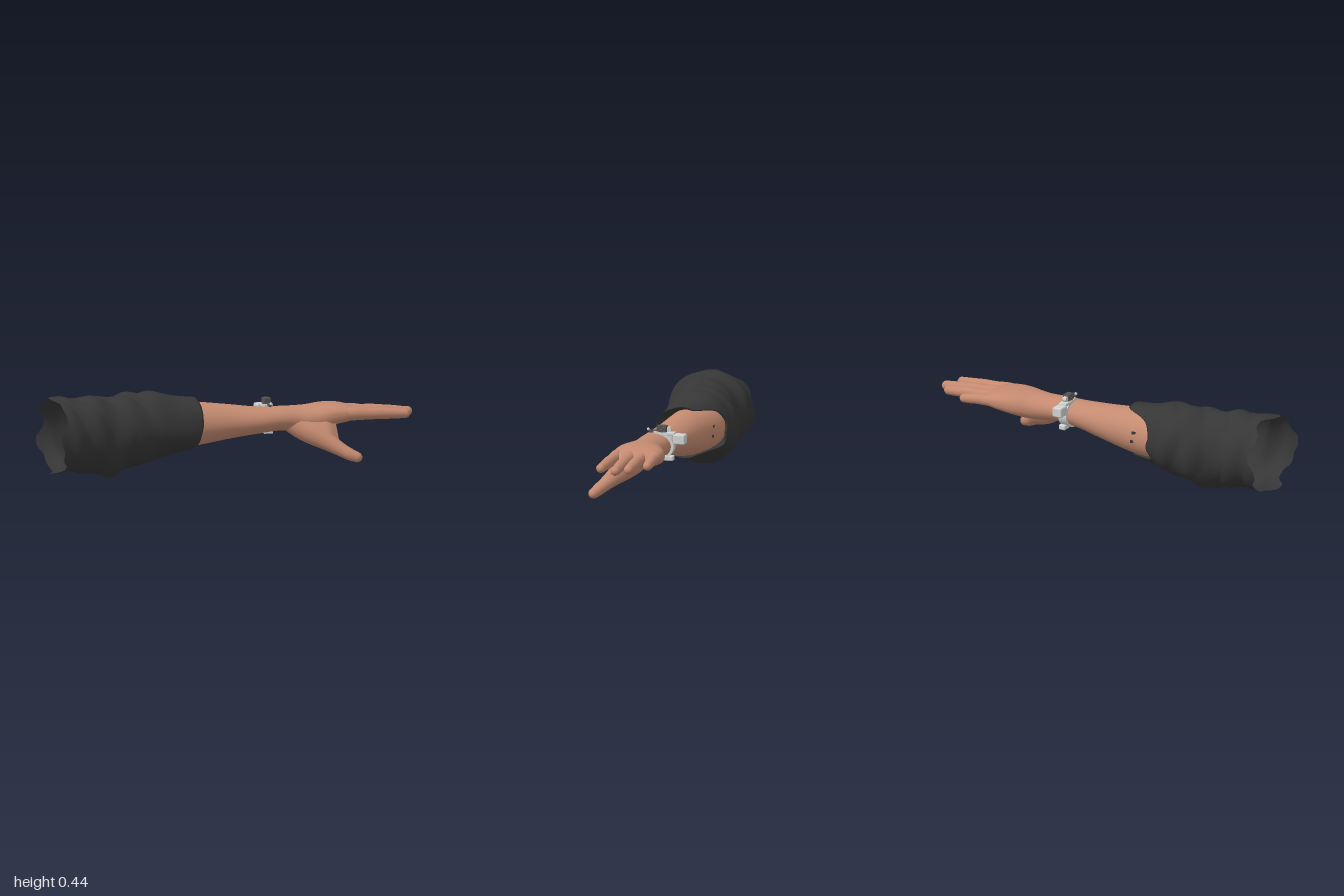
import * as THREE from 'three';
import { RoundedBoxGeometry } from 'three/addons/geometries/RoundedBoxGeometry.js';

const { smoothstep, lerp, degToRad } = THREE.MathUtils;

const mat = (name, color, side = THREE.FrontSide) => {
  const m = new THREE.MeshStandardMaterial({ color, side });
  m.name = name;
  return m;
};

// Closed rings of points joined into one smooth skin; rings advance along +x
function loft(rings, sides, point, capped = false) {
  const pos = [], idx = [];
  for (let i = 0; i < rings; i++)
    for (let j = 0; j < sides; j++) pos.push(...point(i / (rings - 1), (j / sides) * Math.PI * 2));
  for (let i = 0; i < rings - 1; i++)
    for (let j = 0; j < sides; j++) {
      const k = (j + 1) % sides;
      const a = i * sides + j, b = i * sides + k, c = a + sides, d = b + sides;
      idx.push(a, c, b, b, c, d);
    }
  const last = (rings - 1) * sides;
  for (let j = 1; capped && j < sides - 1; j++) idx.push(0, j, j + 1, last, last + j + 1, last + j);
  const g = new THREE.BufferGeometry();
  g.setAttribute('position', new THREE.Float32BufferAttribute(pos, 3));
  g.setIndex(idx);
  g.computeVertexNormals();
  return g;
}

// Smooth interpolation of rows [x, yMin, yMax, zMin, zMax]
function sections(rows) {
  const f = new THREE.CubicInterpolant(
    new Float32Array(rows.map(r => r[0])), new Float32Array(rows.flatMap(r => r.slice(1))), 4);
  return x => {
    const [y0, y1, z0, z1] = f.evaluate(x);
    return { y: (y0 + y1) / 2, z: (z0 + z1) / 2, ry: (y1 - y0) / 2, rz: (z1 - z0) / 2 };
  };
}

// Finger-like limb: rows [x, y, z, radius], rounded at the tip
function digit(rows) {
  const path = new THREE.CatmullRomCurve3(rows.map(r => new THREE.Vector3(r[0], r[1], r[2])));
  const radii = new THREE.SplineCurve(rows.map((r, i) => new THREE.Vector2(i, r[3])));
  const start = 1 - rows[rows.length - 1][3] / path.getLength();
  return loft(36, 18, (s, a) => {
    const u = s < 0.6 ? (s / 0.6) * start : start + (1 - start) * Math.sin(((s - 0.6) / 0.4) * Math.PI / 2);
    const t = path.getUtoTmapping(u);
    const round = u > start ? Math.sqrt(Math.max(0.0004, 1 - ((u - start) / (1 - start)) ** 2)) : 1;
    const r = radii.getPoint(t).y * round;
    const dir = path.getTangent(t);
    const side = new THREE.Vector3().crossVectors(dir, new THREE.Vector3(0, 1, 0)).normalize();
    const up = new THREE.Vector3().crossVectors(side, dir);
    return path.getPoint(t).addScaledVector(side, r * Math.cos(a)).addScaledVector(up, r * Math.sin(a)).toArray();
  }, true);
}

export function createModel() {
  const group = new THREE.Group();
  const skin = mat('skin', 0xc48a70);
  const cloth = mat('charcoal cloth', 0x363636, THREE.DoubleSide);
  const lightMetal = mat('light metal', 0xd0d2d2);
  const darkMetal = mat('dark metal', 0x505250);
  const copper = mat('copper', 0x8a5a48);
  const add = (name, geo, material, parent = group) => {
    const m = new THREE.Mesh(geo, material);
    m.name = name;
    parent.add(m);
    return m;
  };

  // Forearm, wrist and palm in one skin
  const armAt = sections([
    [-0.5, 0.13, 0.36, -0.2, 0.07], [-0.37, 0.125, 0.37, -0.212, 0.07],
    [-0.2, 0.132, 0.366, -0.178, 0.066], [0, 0.165, 0.346, -0.14, 0.07],
    [0.15, 0.188, 0.33, -0.104, 0.085], [0.28, 0.2, 0.328, -0.09, 0.085],
    [0.36, 0.19, 0.328, -0.092, 0.085], [0.43, 0.188, 0.33, -0.11, 0.1],
    [0.5, 0.203, 0.334, -0.14, 0.113], [0.57, 0.222, 0.333, -0.155, 0.112],
    [0.62, 0.232, 0.326, -0.155, 0.11], [0.66, 0.242, 0.316, -0.146, 0.1],
    [0.695, 0.253, 0.303, -0.112, 0.085], [0.715, 0.267, 0.287, -0.08, 0.06]]);
  add('armAndPalm', loft(90, 40, (s, a) => {
    const x = -0.5 + 1.215 * s;
    const p = armAt(x), c = Math.cos(a), n = Math.sin(a);
    const e = 1 - 0.25 * smoothstep(x, 0.35, 0.6);
    return [x, p.y + p.ry * Math.sign(n) * Math.abs(n) ** e, p.z + p.rz * Math.sign(c) * Math.abs(c) ** e];
  }, true), skin);

  // Fingers: base z, tip x, tip z, tip y, thickness
  const fingers = [
    ['indexFinger', 0.076, 0.958, 0.084, 0.27, 0.031], ['middleFinger', 0.006, 1.0, -0.007, 0.268, 0.032],
    ['ringFinger', -0.058, 0.952, -0.065, 0.268, 0.031], ['littleFinger', -0.121, 0.82, -0.13, 0.265, 0.029]];
  for (const [name, z, tx, tz, ty, r] of fingers) {
    const at = (k, y, q) => [0.57 + (tx - 0.57) * k, y, z + (tz - z) * k, r * q];
    add(name, digit([at(0, 0.28, 1), at(0.2, 0.281, 1.12), at(0.4, 0.278, 1.0),
      at(0.58, 0.277, 0.97), at(0.78, (ty + 0.276) / 2, 0.88), at(1, ty, 0.76)]), skin);
  }

  // Thumb with its fleshy base
  add('thumb', digit([[0.3, 0.258, 0.01, 0.048], [0.37, 0.222, 0.036, 0.06], [0.43, 0.19, 0.074, 0.061],
    [0.49, 0.153, 0.12, 0.05], [0.545, 0.115, 0.163, 0.037], [0.6, 0.083, 0.198, 0.031],
    [0.652, 0.064, 0.22, 0.024]]), skin);

  // Web of skin slanting from the palm down to the thumb
  const webAt = sections([
    [0.3, 0.225, 0.28, -0.03, 0.05], [0.38, 0.188, 0.29, -0.01, 0.09], [0.45, 0.15, 0.295, 0.02, 0.135],
    [0.51, 0.122, 0.29, 0.045, 0.168], [0.55, 0.118, 0.275, 0.062, 0.172]]);
  add('thumbWeb', loft(30, 28, (s, a) => {
    const x = 0.3 + 0.25 * s;
    const p = webAt(x), len = Math.hypot(p.ry, p.rz);
    const end = Math.sqrt(Math.max(0.01, 1 - smoothstep(s, 0.75, 1)));
    const u = len * lerp(0.8, 1, end) * Math.cos(a), v = lerp(0.05, 0.03, s) * end * Math.sin(a);
    return [x, p.y + (-p.ry * u + p.rz * v) / len, p.z + (p.rz * u + p.ry * v) / len];
  }, true), skin);

  // Wrinkled sleeve: torn upper end, cuff pushed back behind the arm and lined inside
  const sleeveAt = sections([
    [-1, 0.035, 0.432, -0.208, 0.247], [-0.9, 0.04, 0.428, -0.203, 0.23], [-0.8, 0.034, 0.425, -0.198, 0.208],
    [-0.68, 0.002, 0.422, -0.182, 0.17], [-0.6, 0.022, 0.42, -0.228, 0.16], [-0.5, 0.048, 0.43, -0.243, 0.138],
    [-0.4, 0.075, 0.43, -0.238, 0.125], [-0.3, 0.1, 0.404, -0.21, 0.113], [-0.17, 0.122, 0.388, -0.165, 0.105]]);
  const tears = [0, 0.04, 0.03, 0, 0.05, 0.01, 0.045, 0.005, 0.035, 0.04, 0, 0.05, 0.02];
  const bodyShare = 0.9;
  add('sleeve', loft(81, 78, (s, a) => {
    const c = Math.cos(a), n = Math.sin(a);
    const end = -0.176 - 0.025 * Math.max(0, -n)
      - 0.185 * smoothstep(-c, 0.4, 0.92) - (c < -0.6 ? 0.008 * Math.sin(9 * a) : 0);
    const tooth = (a / (Math.PI * 2)) * tears.length, f = Math.floor(tooth);
    const start = -1 + lerp(tears[f], tears[(f + 1) % tears.length], smoothstep(tooth - f, 0.3, 0.9));
    const hem = Math.max(0, (s - bodyShare) / (1 - bodyShare));
    const x = hem > 0 ? end - 0.12 * hem : start + (end - start) * (s / bodyShare);
    const p = sleeveAt(hem > 0 ? end : x);
    const folds = smoothstep(x, -1, -0.88) * (1 - smoothstep(x, -0.5, -0.36));
    const w = folds * (0.007 * Math.sin(34 * x + 2.2 * n + 1.4 * c) + 0.008 * Math.abs(Math.sin(23 * x - 3 * c + n)) - 0.005)
      + 0.003 * Math.sin(5 * a + 8 * x) * (1 - folds);
    const k = (1 - 0.32 * hem) * (1 + 0.03 * Math.sin(2 * a) ** 2 * (1 - smoothstep(x, -0.95, -0.7)));
    return [x, Math.max(0, p.y + (p.ry + w) * n * k), p.z + (p.rz + w) * c * k];
  }), cloth);

  // Scraps of cloth on the back of the forearm
  for (const [x, y, z] of [[-0.265, 0.28, -0.188], [-0.255, 0.232, -0.187]]) {
    const scrap = add('clothScrap', new THREE.BoxGeometry(0.028, 0.014, 0.008), cloth);
    scrap.position.set(x, y, z);
    scrap.rotation.y = 0.2;
  }

  // Open wrist clip wrapping the back of the wrist
  const clip = new THREE.Group();
  clip.name = 'wristClip';
  group.add(clip);
  const box = (name, m, round, x0, x1, y0, y1, z0, z1) => {
    add(name, new RoundedBoxGeometry(x1 - x0, y1 - y0, z1 - z0, 3, round), m, clip)
      .position.set((x0 + x1) / 2, (y0 + y1) / 2, (z0 + z1) / 2);
  };
  const band = new THREE.Shape();
  const arc = (rz, ry, k) => {
    const a = degToRad(85 + 190 * k);
    return [-0.012 + rz * Math.cos(a), 0.262 + ry * Math.sin(a)];
  };
  for (let i = 0; i <= 24; i++) band[i ? 'lineTo' : 'moveTo'](...arc(0.1, 0.077, i / 24));
  for (let i = 24; i >= 0; i--) band.lineTo(...arc(0.086, 0.064, i / 24));
  const bandGeo = new THREE.ExtrudeGeometry(band, { depth: 0.045, bevelEnabled: false });
  bandGeo.rotateY(-Math.PI / 2).translate(0.238, 0, 0);
  add('band', bandGeo, lightMetal, clip);
  box('backBlock', lightMetal, 0.008, 0.186, 0.24, 0.275, 0.328, -0.172, -0.108);
  box('topBracket', lightMetal, 0.005, 0.192, 0.236, 0.318, 0.336, -0.115, -0.04);
  box('lowerHook', lightMetal, 0.008, 0.2, 0.24, 0.186, 0.214, -0.11, -0.055);
  box('topBlock', darkMetal, 0.002, 0.198, 0.234, 0.332, 0.37, -0.072, -0.02);
  box('topRail', darkMetal, 0.002, 0.207, 0.227, 0.33, 0.343, -0.025, 0.025);

  // Small studs on both faces of the block, plus knob and dial
  for (const x of [0.1975, 0.2345])
    for (const [y, z] of [[0.342, -0.06], [0.342, -0.032], [0.36, -0.06], [0.36, -0.032], [0.351, -0.046]]) {
      const stud = add('stud', new THREE.CylinderGeometry(0.004, 0.004, 0.004, 10), copper, clip);
      stud.rotation.z = Math.PI / 2;
      stud.position.set(x, y, z);
    }
  add('knob', new THREE.SphereGeometry(0.008, 12, 8), lightMetal, clip).position.set(0.216, 0.346, 0.03);
  const dial = add('dial', new THREE.CylinderGeometry(0.014, 0.014, 0.02, 18), lightMetal, clip);
  dial.rotation.z = Math.PI / 2;
  dial.position.set(0.214, 0.35, -0.08);
  return group;
}
